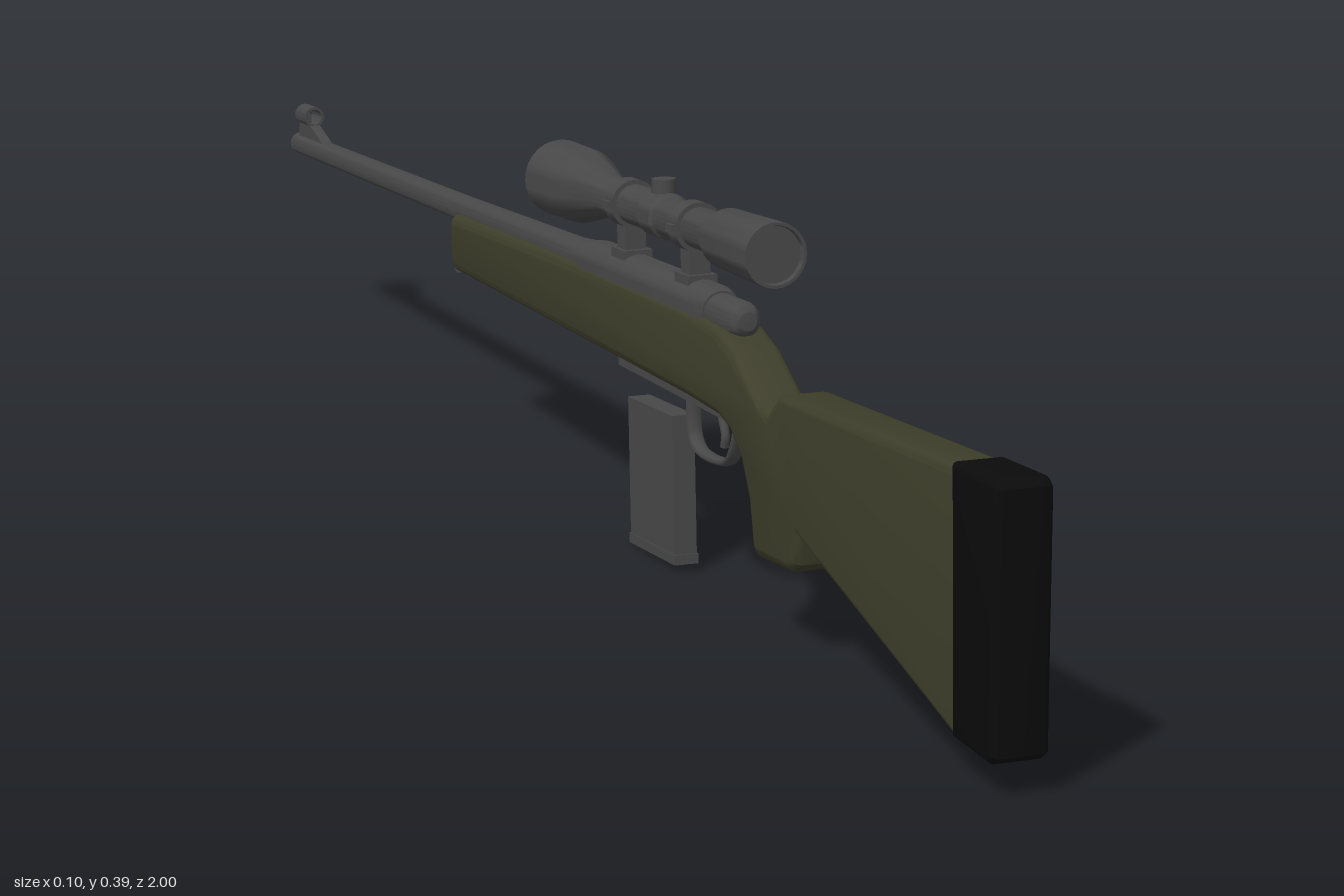
import * as THREE from 'three';
import { toCreasedNormals } from 'three/addons/utils/BufferGeometryUtils.js';

const material = (name, color) => {
  const m = new THREE.MeshStandardMaterial({ color });
  m.name = name;
  return m;
};

export function createModel() {
  const olive = material('olive stock', 0x3e3e2b);
  const metal = material('dark metal', 0x484848);
  const rubber = material('black rubber', 0x0b0b0b);
  const steel = material('bright steel', 0xa4a4a4);

  const model = new THREE.Group();
  model.name = 'rifle';
  const body = new THREE.Group();
  body.name = 'body';
  body.position.x = -0.012;
  model.add(body);

  // Barrelled action and scope share one slightly nose-down axis
  const action = new THREE.Group();
  action.name = 'action';
  action.position.y = 0.262;
  action.rotation.x = -0.054;
  body.add(action);

  const add = (parent, name, geo, mat) => {
    const mesh = new THREE.Mesh(geo, mat);
    mesh.name = name;
    parent.add(mesh);
    return mesh;
  };
  const box = (parent, name, size, pos, mat = metal) => {
    const mesh = add(parent, name, new THREE.BoxGeometry(...size), mat);
    mesh.position.set(...pos);
    return mesh;
  };
  // Turned part along z from [z, radius] pairs
  const turned = (parent, name, pts, y = 0, mat = metal, sides = 24) => {
    const geo = new THREE.LatheGeometry(pts.map(([z, r]) => new THREE.Vector2(r, z)), sides);
    geo.rotateX(Math.PI / 2);
    const mesh = add(parent, name, toCreasedNormals(geo, 0.6), mat);
    mesh.position.y = y;
    return mesh;
  };
  // Side profile of [z, y] pairs, given thickness in x with rounded edges
  const slab = (parent, name, pts, width, bevel, mat) => {
    const shape = new THREE.Shape(pts.map(([z, y]) => new THREE.Vector2(-z, y)));
    const depth = width - 2 * bevel;
    const geo = new THREE.ExtrudeGeometry(shape, {
      depth, bevelEnabled: bevel > 0, bevelSize: bevel, bevelThickness: bevel,
      bevelOffset: -bevel, bevelSegments: 3,
    });
    geo.translate(0, 0, -depth / 2);
    geo.rotateY(Math.PI / 2);
    return add(parent, name, toCreasedNormals(geo, 0.6), mat);
  };
  const wire = (parent, name, pts, r, tension = 0.5) => {
    const curve = new THREE.CatmullRomCurve3(
      pts.map((p) => new THREE.Vector3(...p)), false, 'catmullrom', tension);
    return add(parent, name, new THREE.TubeGeometry(curve, 40, r, 8), metal);
  };

  // Stock with comb, grip and fore-end
  slab(body, 'stock', [
    [0.93, 0.272], [0.54, 0.247], [0.528, 0.243], [0.505, 0.222], [0.485, 0.226],
    [0.42, 0.262], [0.38, 0.274], [0.3, 0.277], [0, 0.262], [-0.375, 0.24],
    [-0.382, 0.23], [-0.38, 0.19], [-0.37, 0.18], [0, 0.187], [0.3, 0.193],
    [0.385, 0.192], [0.415, 0.184], [0.443, 0.163], [0.462, 0.13], [0.473, 0.085],
    [0.485, 0.079], [0.56, 0.085], [0.572, 0.094], [0.578, 0.122], [0.93, 0.032],
  ], 0.052, 0.009, olive);

  // Butt pad
  slab(body, 'buttPad', [
    [0.908, 0.273], [0.99, 0.277], [1, 0.27], [1, 0.038], [0.99, 0.031], [0.918, 0.034],
  ], 0.0535, 0.006, rubber);

  // Barrel, receiver and bolt
  turned(action, 'barrel', [
    [-1, 0], [-1, 0.0125], [-0.4, 0.0145], [-0.05, 0.018], [0.02, 0.022], [0.02, 0],
  ]);
  turned(action, 'receiver', [
    [0, 0], [0, 0.022], [0.02, 0.024], [0.32, 0.024], [0.335, 0.02], [0.335, 0],
  ]);
  turned(action, 'boltShroud', [
    [0.3, 0], [0.3, 0.018], [0.385, 0.018], [0.395, 0.015], [0.4, 0.009], [0.401, 0],
  ]);
  const port = new THREE.CylinderGeometry(0.0247, 0.0247, 0.13, 12, 1, true, 1.85, 0.85);
  port.rotateX(Math.PI / 2);
  add(action, 'boltBody', port, steel).position.z = 0.185;

  // Bolt handle with tapered knob
  wire(body, 'boltHandle', [
    [0.014, 0.279, 0.33], [0.026, 0.275, 0.33], [0.035, 0.257, 0.33], [0.046, 0.226, 0.327],
  ], 0.005);
  const knob = add(body, 'boltKnob', new THREE.CylinderGeometry(0.005, 0.0085, 0.04, 14), metal);
  knob.position.set(0.049, 0.218, 0.327);
  knob.rotation.z = 0.38;

  // Front sight
  slab(action, 'frontSightRamp', [
    [-0.89, 0.01], [-0.94, 0.027], [-0.982, 0.027], [-0.985, 0.008],
  ], 0.012, 0, metal);
  const hood = new THREE.Group();
  hood.name = 'frontSightHood';
  hood.position.y = 0.037;
  action.add(hood);
  turned(hood, 'hoodTube', [
    [-0.98, 0.009], [-0.98, 0.012], [-0.942, 0.012], [-0.942, 0.009], [-0.98, 0.009],
  ], 0, metal, 16);
  box(hood, 'sightPost', [0.003, 0.014, 0.004], [0, -0.005, -0.96]);

  // Scope
  const scope = new THREE.Group();
  scope.name = 'scope';
  scope.position.y = 0.073;
  action.add(scope);
  turned(scope, 'scopeBody', [
    [-0.09, 0], [-0.09, 0.034], [-0.1, 0.036], [-0.1, 0.039], [-0.03, 0.038],
    [0.05, 0.02], [0.325, 0.02], [0.355, 0.029], [0.465, 0.0315], [0.47, 0.031],
    [0.47, 0.028], [0.464, 0.027], [0.464, 0],
  ], 0, metal, 28);
  const turret = new THREE.CylinderGeometry(0.012, 0.012, 0.014, 16);
  const stem = new THREE.CylinderGeometry(0.009, 0.009, 0.026, 16);
  for (const [name, angle] of [['elevationTurret', 0], ['windageTurret', -Math.PI / 2]]) {
    const g = new THREE.Group();
    g.name = name;
    g.position.z = 0.19;
    g.rotation.z = angle;
    add(g, 'turretStem', stem, metal).position.y = 0.014;
    add(g, 'turretCap', turret, metal).position.y = 0.029;
    scope.add(g);
  }
  turned(scope, 'turretCollar', [
    [0.17, 0.019], [0.175, 0.023], [0.205, 0.023], [0.21, 0.019],
  ]);

  // Scope rings and mounts
  for (const z of [0.1, 0.27]) {
    turned(scope, 'scopeRing', [
      [z - 0.011, 0.019], [z - 0.011, 0.0245], [z + 0.011, 0.0245], [z + 0.011, 0.019],
    ]);
    box(action, 'scopeMount', [0.022, 0.04, 0.022], [0, 0.037, z]);
    box(action, 'mountBase', [0.03, 0.01, 0.036], [0, 0.023, z]);
    box(scope, 'ringClamp', [0.056, 0.008, 0.016], [0, 0, z]);
  }

  // Trigger and guard
  const guard = wire(body, 'triggerGuard', [
    [0, 0.195, 0.385], [0, 0.165, 0.378], [0, 0.141, 0.36], [0, 0.133, 0.33],
    [0, 0.132, 0.29], [0, 0.142, 0.27], [0, 0.165, 0.264], [0, 0.195, 0.264],
  ], 0.004);
  guard.scale.x = 2;
  wire(body, 'trigger', [
    [0, 0.195, 0.333], [0, 0.178, 0.337], [0, 0.162, 0.345], [0, 0.15, 0.343],
  ], 0.0045);

  // Floor plate and detached magazine
  box(body, 'floorPlate', [0.03, 0.012, 0.29], [0, 0.188, 0.245]).rotation.x = -0.025;
  const magazine = new THREE.Group();
  magazine.name = 'magazine';
  magazine.position.set(0, 0.079, 0.182);
  magazine.rotation.x = -0.06;
  box(magazine, 'magazineBody', [0.023, 0.138, 0.119], [0, 0.005, 0]);
  box(magazine, 'magazineBase', [0.025, 0.01, 0.122], [0, -0.069, 0]);
  body.add(magazine);

  // Sling loop under the fore-end tip
  wire(body, 'slingLoop', [
    [-0.017, 0.207, -0.37], [-0.017, 0.204, -0.387], [-0.015, 0.175, -0.384],
    [0.015, 0.175, -0.384], [0.017, 0.204, -0.387], [0.017, 0.207, -0.37],
  ], 0.0025, 0.1);

  return model;
}
